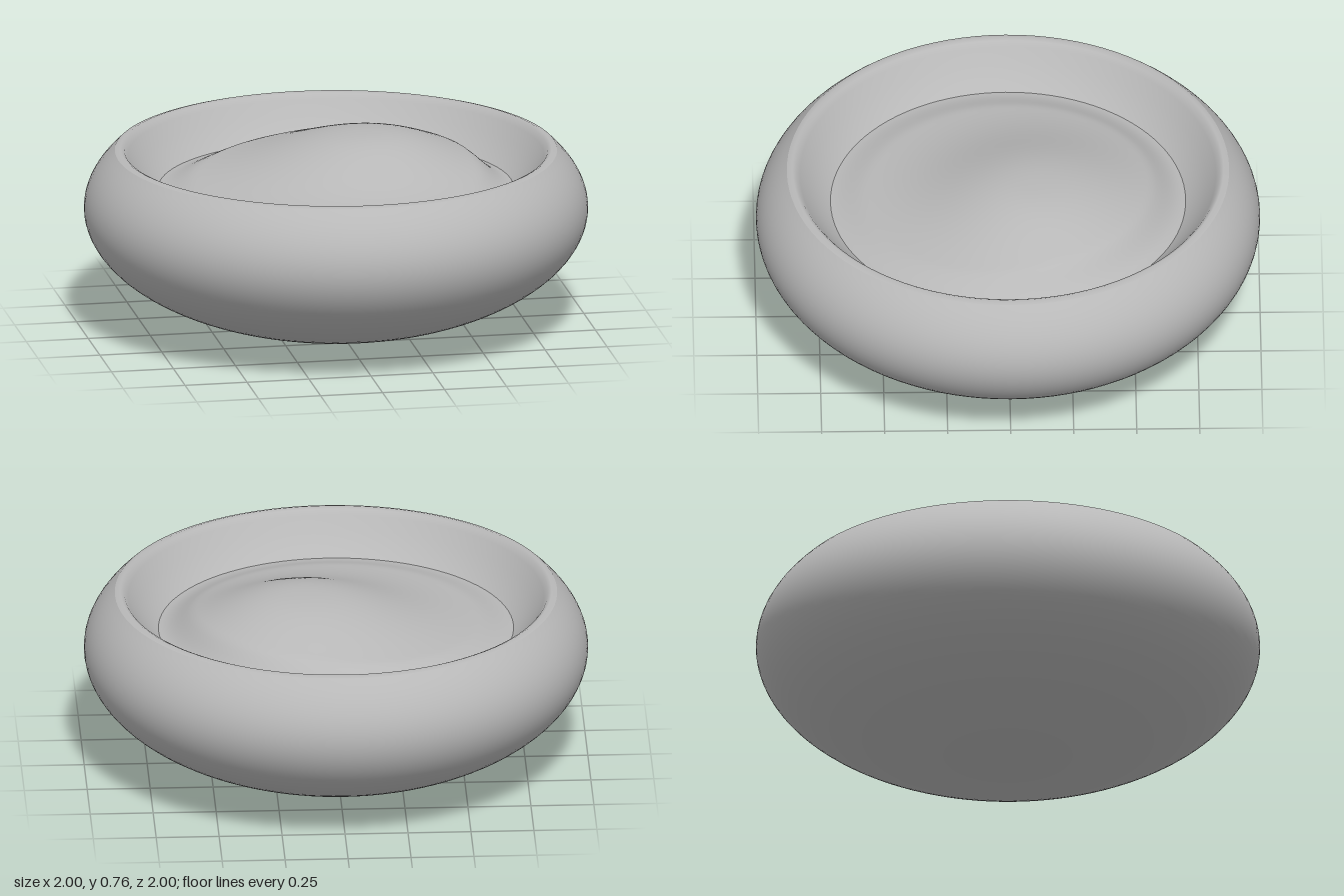
import * as THREE from 'three';
import { mergeVertices } from 'three/addons/utils/BufferGeometryUtils.js';

const SEGMENTS = 96;

function lathe(points) {
  return new THREE.LatheGeometry(points.map(([r, y]) => new THREE.Vector2(r, y)), SEGMENTS);
}

// Height of the filling: a shallow crown with one off-centre mound,
// steeper towards +x +z and settling to the wall at its edge
function fillingHeight(x, z) {
  const r = Math.hypot(x, z);
  const dx = x - 0.16, dz = z + 0.09;
  const d = Math.hypot(dx, dz);
  const toward = d > 0 ? (dx + dz) / (d * Math.SQRT2) : 0;
  const width = 0.45 - 0.06 * toward;
  const edge = 1 - THREE.MathUtils.smoothstep(r, 0.56, 0.71);
  return 0.57 + edge * (0.025 + 0.17 * Math.exp(-Math.pow(d / width, 2.4)));
}

export function createModel() {
  const model = new THREE.Group();
  model.name = 'bowl';
  const grey = new THREE.MeshStandardMaterial({ color: 0xb8b8b8 });
  grey.name = 'plain grey';

  const add = (name, geometry) => {
    const mesh = new THREE.Mesh(geometry, grey);
    mesh.name = name;
    model.add(mesh);
  };

  // Outer shell: a flattened sphere cut off at the rim
  const shell = [];
  const top = Math.asin(0.235 / 0.49);
  for (let i = 0; i <= 40; i++) {
    const a = THREE.MathUtils.lerp(-Math.PI / 2, top, i / 40);
    shell.push([Math.max(0, Math.cos(a)), 0.49 + 0.49 * Math.sin(a)]);
  }
  const [rimRadius, rimY] = shell[shell.length - 1];
  add('outerShell', lathe(shell));

  // Narrow rounded lip, then the sloping inner wall
  add('innerWall', lathe([
    [rimRadius, rimY], [0.855, 0.732], [0.84, 0.725], [0.825, 0.705],
    [0.79, 0.655], [0.75, 0.61], [0.715, 0.578], [0.69, 0.56],
  ]));

  // Filling surface
  const disc = new THREE.RingGeometry(0, 0.71, SEGMENTS, 36);
  disc.rotateX(-Math.PI / 2);
  disc.deleteAttribute('uv');
  disc.deleteAttribute('normal');
  const filling = mergeVertices(disc);
  const p = filling.attributes.position;
  for (let i = 0; i < p.count; i++) p.setY(i, fillingHeight(p.getX(i), p.getZ(i)));
  filling.computeVertexNormals();
  add('filling', filling);

  return model;
}
